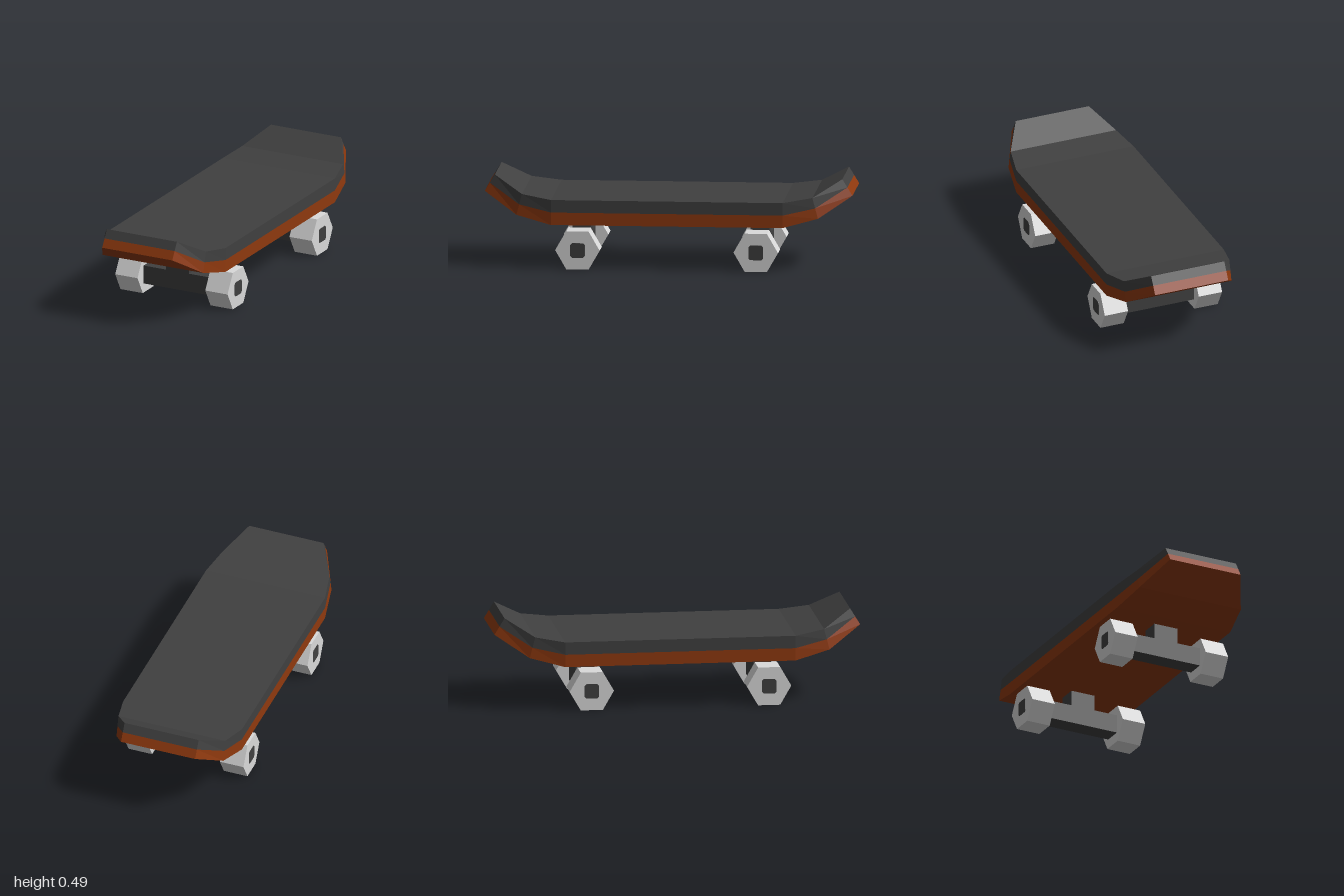
import * as THREE from 'three';

const material = (name, color) => {
  const m = new THREE.MeshStandardMaterial({ color, flatShading: true });
  m.name = name;
  return m;
};

// One layer of the deck, from cross-sections { half, top: [y, z], bottom: [y, z] }
function deckLayer(sections, top, bottom, faces) {
  const pos = [];
  const quad = (a, b, c, d) => pos.push(...a, ...b, ...c, ...a, ...c, ...d);
  const rings = sections.map((s) => {
    const point = (side, level) => [side * s.half, ...s[level]];
    return [point(1, top), point(-1, top), point(-1, bottom), point(1, bottom)];
  });
  for (let i = 0; i < rings.length - 1; i++) {
    const a = rings[i], b = rings[i + 1];
    for (const k of faces) {
      const n = (k + 1) % 4;
      quad(a[k], a[n], b[n], b[k]);
    }
  }
  const first = rings[0], last = rings[rings.length - 1];
  quad(first[3], first[2], first[1], first[0]);
  quad(...last);
  const g = new THREE.BufferGeometry();
  g.setAttribute('position', new THREE.Float32BufferAttribute(pos, 3));
  g.computeVertexNormals();
  return g;
}

export function createModel() {
  const group = new THREE.Group();
  group.name = 'skateboard';
  const grip = material('dark grey', 0x404040);
  const wood = material('orange brown wood', 0x8f390e);
  const rubber = material('light grey', 0xdadada);

  const add = (parent, name, geometry, mat) => {
    const mesh = new THREE.Mesh(geometry, mat);
    mesh.name = name;
    parent.add(mesh);
    return mesh;
  };

  // Deck: half width, then top y, z and bottom y, z, from the middle to the tip
  const half = [
    [0.345, 0.38, 0.63, 0.243, 0.63],
    [0.31, 0.405, 0.79, 0.291, 0.82],
    [0.215, 0.495, 0.945, 0.405, 1.0],
  ];
  const section = ([w, ty, tz, by, bz], s) => ({
    half: w,
    top: [ty, s * tz],
    middle: [(ty + by) / 2, s * (tz + bz) / 2],
    bottom: [by, s * bz],
  });
  const sections = [
    ...half.map((h) => section(h, -1)).reverse(),
    ...half.map((h) => section(h, 1)),
  ];
  add(group, 'gripDeck', deckLayer(sections, 'top', 'middle', [0, 1, 3]), grip);
  add(group, 'woodDeck', deckLayer(sections, 'middle', 'bottom', [1, 2, 3]), wood);

  // T-shaped truck profile
  const truckShape = new THREE.Shape([
    [-0.21, 0.053], [0.21, 0.053], [0.21, 0.156], [0.07, 0.156],
    [0.07, 0.25], [-0.07, 0.25], [-0.07, 0.156], [-0.21, 0.156],
  ].map(([x, y]) => new THREE.Vector2(x, y)));
  const truckGeo = new THREE.ExtrudeGeometry(truckShape, { depth: 0.102, bevelEnabled: false });
  truckGeo.translate(0, 0, -0.051);

  // Six-sided wheel lying along x, corners pointing fore and aft
  const wheelGeo = new THREE.CylinderGeometry(0.121, 0.121, 0.137, 6);
  wheelGeo.rotateZ(Math.PI / 2);

  // Hub plate: a square with clipped corners
  const r = 0.04, c = 0.03;
  const hubShape = new THREE.Shape([
    [r, -c], [r, c], [c, r], [-c, r], [-r, c], [-r, -c], [-c, -r], [c, -r],
  ].map(([x, y]) => new THREE.Vector2(x, y)));
  const hubGeo = new THREE.ExtrudeGeometry(hubShape, { depth: 0.006, bevelEnabled: false });
  hubGeo.translate(0, 0, -0.003);
  hubGeo.rotateY(Math.PI / 2);

  for (const [end, z] of [['front', 0.485], ['back', -0.485]]) {
    const truck = new THREE.Group();
    truck.name = `${end}Truck`;
    truck.position.z = z;
    add(truck, 'axle', truckGeo, grip);
    for (const [side, s] of [['left', 1], ['right', -1]]) {
      add(truck, `${side}Wheel`, wheelGeo, rubber).position.set(s * 0.2765, 0.105, 0);
      add(truck, `${side}Hub`, hubGeo, grip).position.set(s * 0.344, 0.105, 0);
    }
    group.add(truck);
  }
  return group;
}
